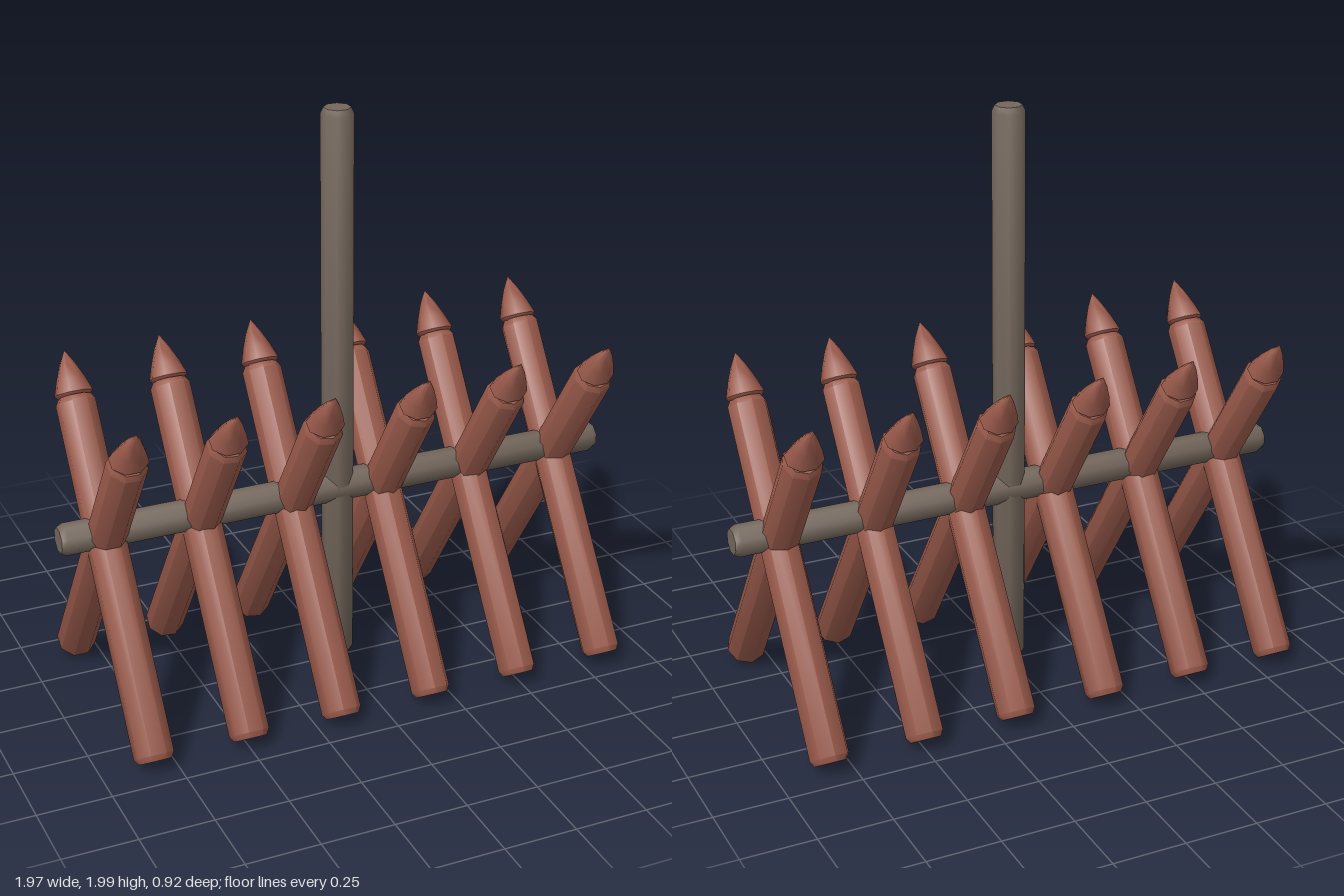
import * as THREE from 'three';
import { toCreasedNormals } from 'three/addons/utils/BufferGeometryUtils.js';

const SIDES = 8;

// Turned eight-sided solid with flats facing the axes; points are [radius, height]
function turned(points) {
  const k = 1 / Math.cos(Math.PI / SIDES);
  const profile = points.map(([r, y]) => new THREE.Vector2(r * k, y));
  return toCreasedNormals(new THREE.LatheGeometry(profile, SIDES, Math.PI / SIDES), 0.9);
}

// Log with lightly bevelled ends, standing on y = 0
function log(radius, length) {
  const inset = radius * 0.82, bevel = 0.02;
  return turned([[0, 0], [inset, 0], [radius, bevel], [radius, length - bevel], [inset, length], [0, length]]);
}

export function createModel() {
  const model = new THREE.Group();
  model.name = 'stakeBarricade';

  const greyWood = new THREE.MeshStandardMaterial({ color: 0x74675c });
  greyWood.name = 'greyWood';
  const redWood = new THREE.MeshStandardMaterial({ color: 0x98594a });
  redWood.name = 'redWood';

  const add = (parent, name, geometry, material) => {
    const mesh = new THREE.Mesh(geometry, material);
    mesh.name = name;
    parent.add(mesh);
    return mesh;
  };

  // Tall centre post
  add(model, 'post', log(0.05, 1.97), greyWood).position.y = 0.03;

  // Horizontal beam through the crossings
  const beam = add(model, 'beam', log(0.05, 1.97), greyWood);
  beam.rotation.z = Math.PI / 2;
  beam.position.set(0.985, 0.673, 0);

  // Crossed pairs of sharpened stakes
  const shaft = log(0.062, 1.215);
  const point = turned([[0, 0], [0.05, 0], [0.061, 0.012], [0.046, 0.06], [0.024, 0.115], [0, 0.16]]);
  const lean = 0.596;
  for (let i = 0; i < 6; i++) {
    const x = -0.825 + i * 0.33;
    for (const side of [1, -1]) {
      const stake = new THREE.Group();
      stake.name = side > 0 ? 'frontFootedStake' : 'backFootedStake';
      const stakeShaft = add(stake, 'stakeShaft', shaft, redWood);
      stakeShaft.rotation.y = i * 0.08 * side;
      const tip = add(stake, 'stakeTip', point, redWood);
      tip.position.y = 1.213;
      tip.scale.z = 0.82;
      stake.position.set(x, 0.037, side * 0.413);
      stake.rotation.x = -side * lean;
      model.add(stake);
    }
  }

  return model;
}
